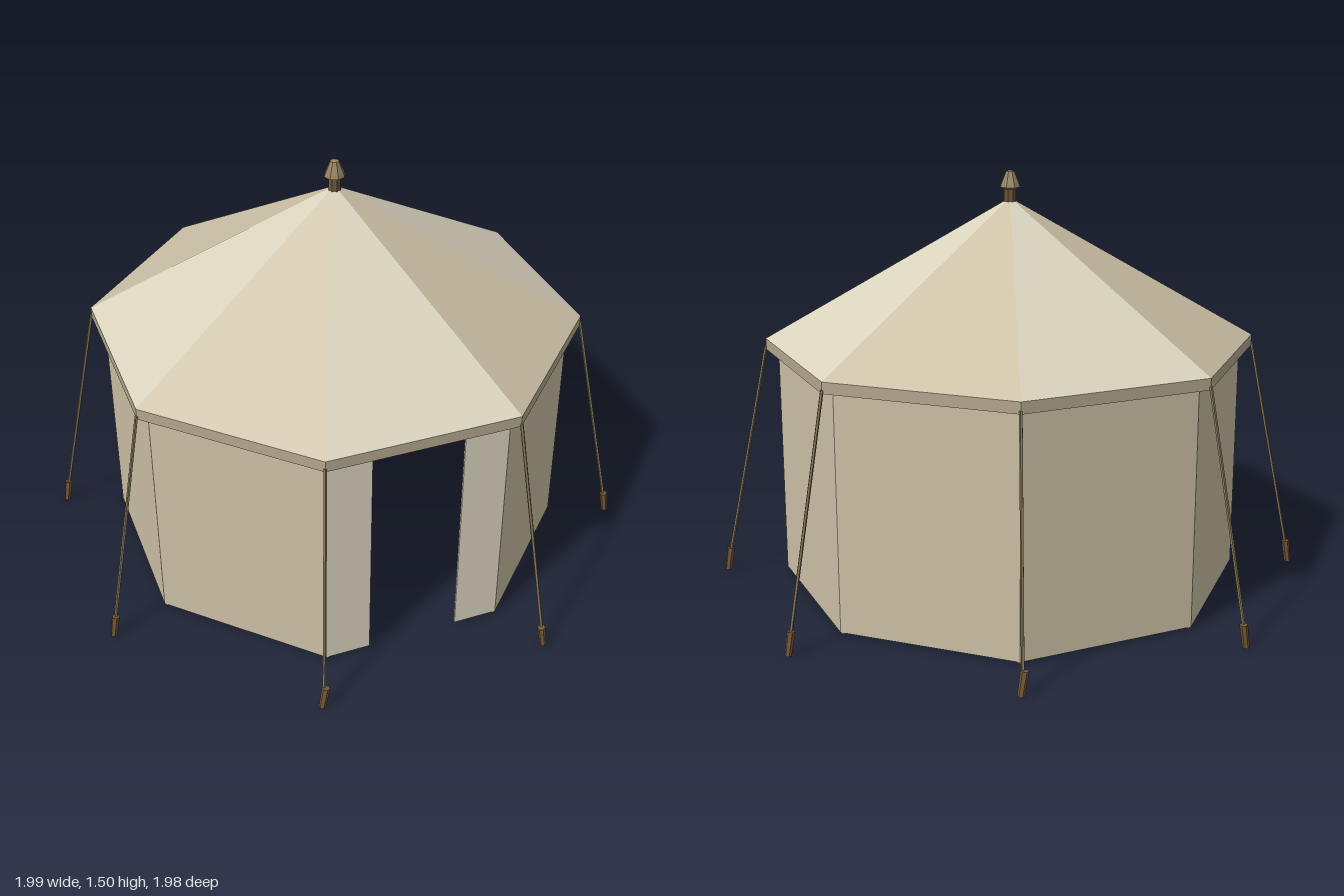
import * as THREE from 'three';

const SIDES = 8, STEP = Math.PI / 4;
const EAVE_R = 0.887, EAVE_Y = 0.893, VALANCE_Y = 0.853, APEX_Y = 1.4;
const WALL_R = 0.842, WALL_LOW = 0.008, WALL_TOP = 0.89, DOOR_HALF = 0.163;

const material = (color, side = THREE.FrontSide) =>
  new THREE.MeshStandardMaterial({ color, side, flatShading: true });

// Point at a given angle around the tent (0 = front) and height
const polar = (angle, r, y) => new THREE.Vector3(Math.sin(angle) * r, y, Math.cos(angle) * r);

export function createModel() {
  const tent = new THREE.Group();
  tent.name = 'tent';
  const cream = material(0xd9d3bd, THREE.DoubleSide);
  const tan = material(0xccc0a6, THREE.DoubleSide);
  const trim = material(0xb5a78e, THREE.DoubleSide);
  const wood = material(0x6b553a);
  const stakeWood = material(0x75593a);
  const rope = material(0x857858);
  const brass = material(0x94815f);

  const add = (name, geometry, mat, parent = tent) => {
    const mesh = new THREE.Mesh(geometry, mat);
    mesh.name = name;
    parent.add(mesh);
    return mesh;
  };

  // Flat cloth from a fan of corner points
  const cloth = (name, points, mat) => {
    const geometry = new THREE.BufferGeometry().setFromPoints(points);
    const index = [];
    for (let i = 1; i < points.length - 1; i++) index.push(0, i, i + 1);
    geometry.setIndex(index);
    geometry.computeVertexNormals();
    return add(name, geometry, mat);
  };

  // Straight round bar between two points
  const bar = (name, from, to, radius, mat, sides = 6) => {
    const dir = to.clone().sub(from);
    const mesh = add(name, new THREE.CylinderGeometry(radius, radius, dir.length(), sides), mat);
    mesh.position.copy(from).lerp(to, 0.5);
    mesh.quaternion.setFromUnitVectors(new THREE.Vector3(0, 1, 0), dir.normalize());
    return mesh;
  };

  // Thin upright wall section turned to its side of the octagon
  const apothem = WALL_R * Math.cos(STEP / 2), wallHalf = WALL_R * Math.sin(STEP / 2);
  const wall = (name, angle, x0, x1, mat) => {
    const pivot = new THREE.Group();
    pivot.name = name;
    pivot.rotation.y = angle;
    tent.add(pivot);
    const panel = add(name + 'Cloth', new THREE.BoxGeometry(x1 - x0, WALL_TOP - WALL_LOW, 0.008), mat, pivot);
    panel.position.set((x0 + x1) / 2, (WALL_TOP + WALL_LOW) / 2, apothem - 0.004);
  };

  for (let i = 0; i < SIDES; i++) {
    const angle = i * STEP, a = angle - STEP / 2, b = angle + STEP / 2;

    // Roof panels in alternating tones, with a hanging valance
    cloth('roofPanel', [polar(0, 0, APEX_Y), polar(a, EAVE_R, EAVE_Y), polar(b, EAVE_R, EAVE_Y)],
      i % 2 ? tan : cream);
    cloth('valance', [polar(a, EAVE_R, EAVE_Y), polar(a, EAVE_R, VALANCE_Y),
      polar(b, EAVE_R, VALANCE_Y), polar(b, EAVE_R, EAVE_Y)], trim);

    // Walls, with a doorway between two flaps at the front
    if (i === 0) {
      wall('rightDoorFlap', angle, -wallHalf, -DOOR_HALF, cream);
      wall('leftDoorFlap', angle, DOOR_HALF, wallHalf, cream);
    } else {
      wall('wallPanel', angle, -wallHalf, wallHalf, tan);
    }

    // Corner post, guy rope and ground stake
    bar('cornerPost', polar(b, WALL_R - 0.014, 0), polar(b, WALL_R - 0.014, 0.9), 0.012, wood);
    bar('guyRope', polar(b, EAVE_R, 0.865), polar(b, 1.055, 0.06), 0.006, rope, 5);
    const stake = add('groundStake', new THREE.CylinderGeometry(0.014, 0.012, 0.085, 6), stakeWood);
    stake.position.copy(polar(b, 1.058, 0.043));
    stake.rotation.z = Math.sign(stake.position.x) * 0.16;
  }

  // Centre pole and finial
  bar('centrePole', new THREE.Vector3(0, 0, 0), new THREE.Vector3(0, 1.435, 0), 0.023, wood, 8);
  const profile = [[0, 1.43], [0.022, 1.43], [0.038, 1.438], [0.034, 1.45], [0.016, 1.493], [0, 1.498]];
  add('finial', new THREE.LatheGeometry(profile.map(([r, y]) => new THREE.Vector2(r, y)), 8), brass);

  return tent;
}
